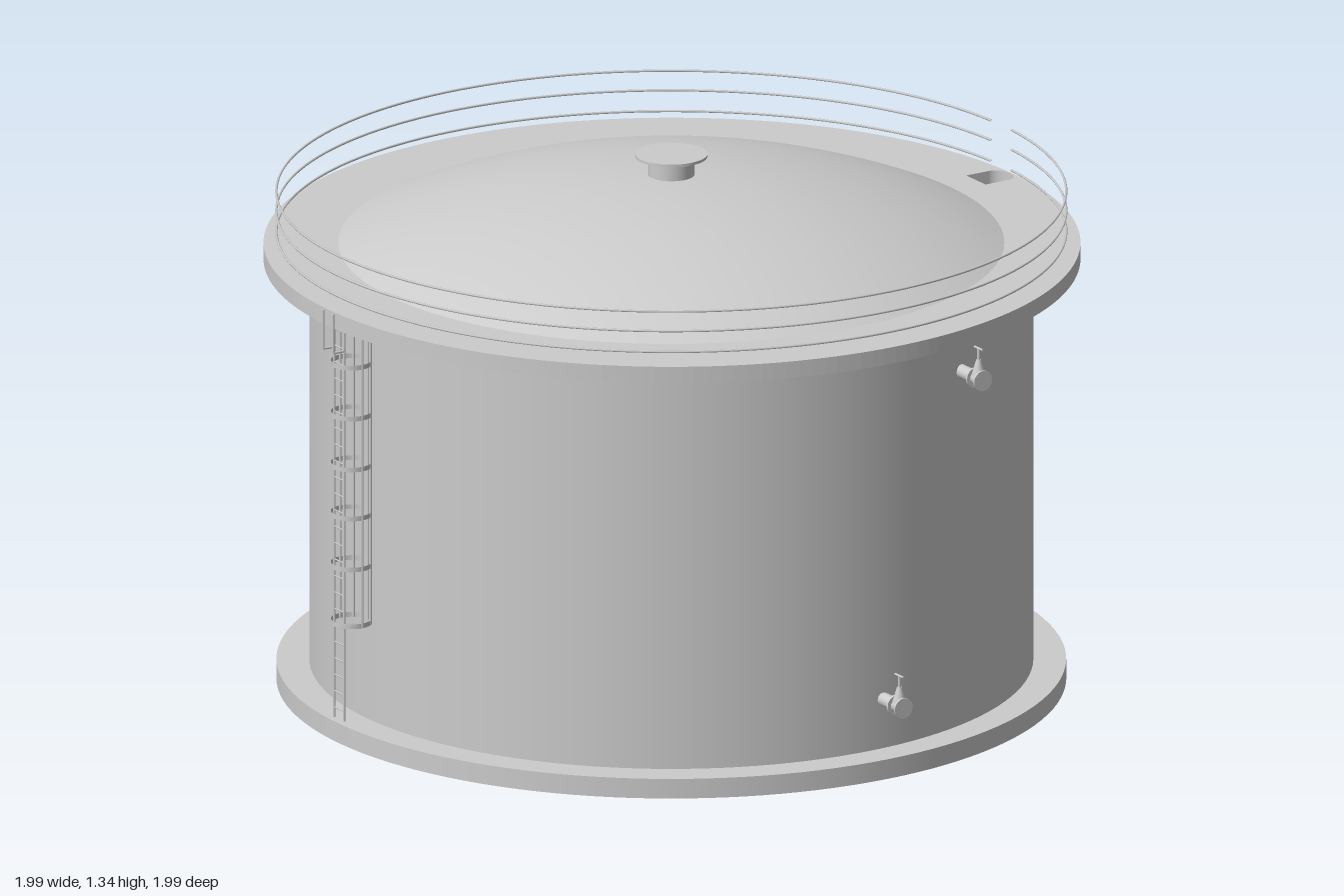
import * as THREE from 'three';

const mat = new THREE.MeshStandardMaterial({ color: 0xcccccc, side: THREE.DoubleSide });

function add(parent, name, geometry, x = 0, y = 0, z = 0) {
  const mesh = new THREE.Mesh(geometry, mat);
  mesh.name = name;
  mesh.position.set(x, y, z);
  parent.add(mesh);
  return mesh;
}

// Straight round bar between two points
function bar(parent, name, a, b, r, sides = 8) {
  const p = new THREE.Vector3(...a), q = new THREE.Vector3(...b);
  const mesh = add(parent, name, new THREE.CylinderGeometry(r, r, p.distanceTo(q), sides));
  mesh.position.copy(p).add(q).multiplyScalar(0.5);
  mesh.quaternion.setFromUnitVectors(new THREE.Vector3(0, 1, 0), q.sub(p).normalize());
  return mesh;
}

// Short pipe with flange, bonnet and handle, pointing to +z
function makeValve(name, x, y, zBack, zFront) {
  const g = new THREE.Group();
  g.name = name;
  const zStem = zFront - 0.02;
  bar(g, 'pipe', [x, y, zBack], [x, y, zFront], 0.017, 20);
  bar(g, 'flange', [x, y, zStem - 0.018], [x, y, zStem - 0.012], 0.026, 24);
  bar(g, 'endFlange', [x, y, zFront - 0.005], [x, y, zFront], 0.026, 24);
  add(g, 'bonnet', new THREE.CylinderGeometry(0.006, 0.018, 0.04, 16), x, y + 0.03, zStem);
  bar(g, 'stem', [x, y + 0.04, zStem], [x, y + 0.078, zStem], 0.004);
  bar(g, 'handle', [x, y + 0.078, zStem - 0.018], [x, y + 0.078, zStem + 0.018], 0.003);
  return g;
}

// Caged ladder on the -x side
function makeLadder() {
  const g = new THREE.Group();
  g.name = 'ladder';
  for (const s of [-1, 1]) {
    const z = s * 0.022;
    bar(g, 'ladderRail', [-0.965, 0.065, z], [-0.965, 1.075, z], 0.003);
    bar(g, 'topHook', [-0.997, 1.01, z], [-0.997, 1.11, z], 0.003);
    bar(g, 'hookLink', [-0.965, 1.01, z], [-0.997, 1.01, z], 0.003);
  }
  for (let i = 0; i < 24; i++) {
    const y = 0.09 + i * 0.042;
    bar(g, 'rung', [-0.965, y, -0.022], [-0.965, y, 0.022], 0.002, 6);
  }
  for (const y of [0.31, 0.455, 0.585, 0.71, 0.84, 0.97]) {
    const hoop = add(g, 'cageHoop', new THREE.CylinderGeometry(0.05, 0.05, 0.012, 32, 1, true), -0.93, y, 0);
    hoop.scale.set(1, 1, 1);
  }
  for (const deg of [-90, -50, 0, 50, 90]) {
    const a = THREE.MathUtils.degToRad(deg);
    const x = -0.93 + 0.049 * Math.cos(a), z = 0.049 * Math.sin(a);
    bar(g, 'cageBar', [x, 0.305, z], [x, 1.075, z], 0.003);
  }
  return g;
}

export function createModel() {
  const model = new THREE.Group();
  model.name = 'storageTank';

  // Foundation and shell
  add(model, 'basePlate', new THREE.CylinderGeometry(0.96, 0.96, 0.05, 128), 0, 0.025, 0);
  add(model, 'shell', new THREE.CylinderGeometry(0.88, 0.88, 1.03, 128, 1, true), 0, 0.56, 0);

  // Walkway ring with the access opening on the +x side
  const ring = new THREE.Shape().absarc(0, 0, 0.993, 0, Math.PI * 2, false);
  ring.holes.push(new THREE.Path().absarc(0, 0, 0.79, 0, Math.PI * 2, true));
  const opening = new THREE.Path();
  opening.moveTo(0.89, -0.033);
  opening.lineTo(0.89, 0.053);
  opening.lineTo(0.955, 0.053);
  opening.absellipse(0.955, 0.01, 0.034, 0.043, Math.PI / 2, -Math.PI / 2, true);
  opening.closePath();
  ring.holes.push(opening);
  const walkway = new THREE.ExtrudeGeometry(ring, { depth: 0.042, bevelEnabled: false, curveSegments: 96 });
  walkway.rotateX(-Math.PI / 2);
  add(model, 'walkway', walkway, 0.002, 1.07, 0);

  // Domed roof as a shallow spherical cap
  const R = 1.96, half = Math.asin(0.812 / R), profile = [];
  for (let i = 0; i <= 20; i++) {
    const a = half * (1 - i / 20);
    profile.push(new THREE.Vector2(R * Math.sin(a), 1.287 - R * (1 - Math.cos(a))));
  }
  add(model, 'domeRoof', new THREE.LatheGeometry(profile, 128));

  // Roof vent
  add(model, 'ventNeck', new THREE.CylinderGeometry(0.057, 0.057, 0.055, 40), 0, 1.308, 0);
  add(model, 'ventCap', new THREE.CylinderGeometry(0.088, 0.088, 0.007, 48), 0, 1.335, 0);

  // Guard rails, broken at the access opening
  const gap = 0.047;
  for (const y of [1.14, 1.193, 1.243]) {
    const rail = new THREE.TorusGeometry(0.96, 0.003, 6, 160, Math.PI * 2 - 2 * gap);
    rail.rotateZ(gap);
    rail.rotateX(-Math.PI / 2);
    add(model, 'guardRail', rail, 0, y, 0);
  }

  model.add(makeValve('upperValve', 0.3, 0.953, 0.825, 0.925));
  model.add(makeValve('lowerValve', 0.04, 0.175, 0.87, 0.97));
  model.add(makeLadder());
  return model;
}
